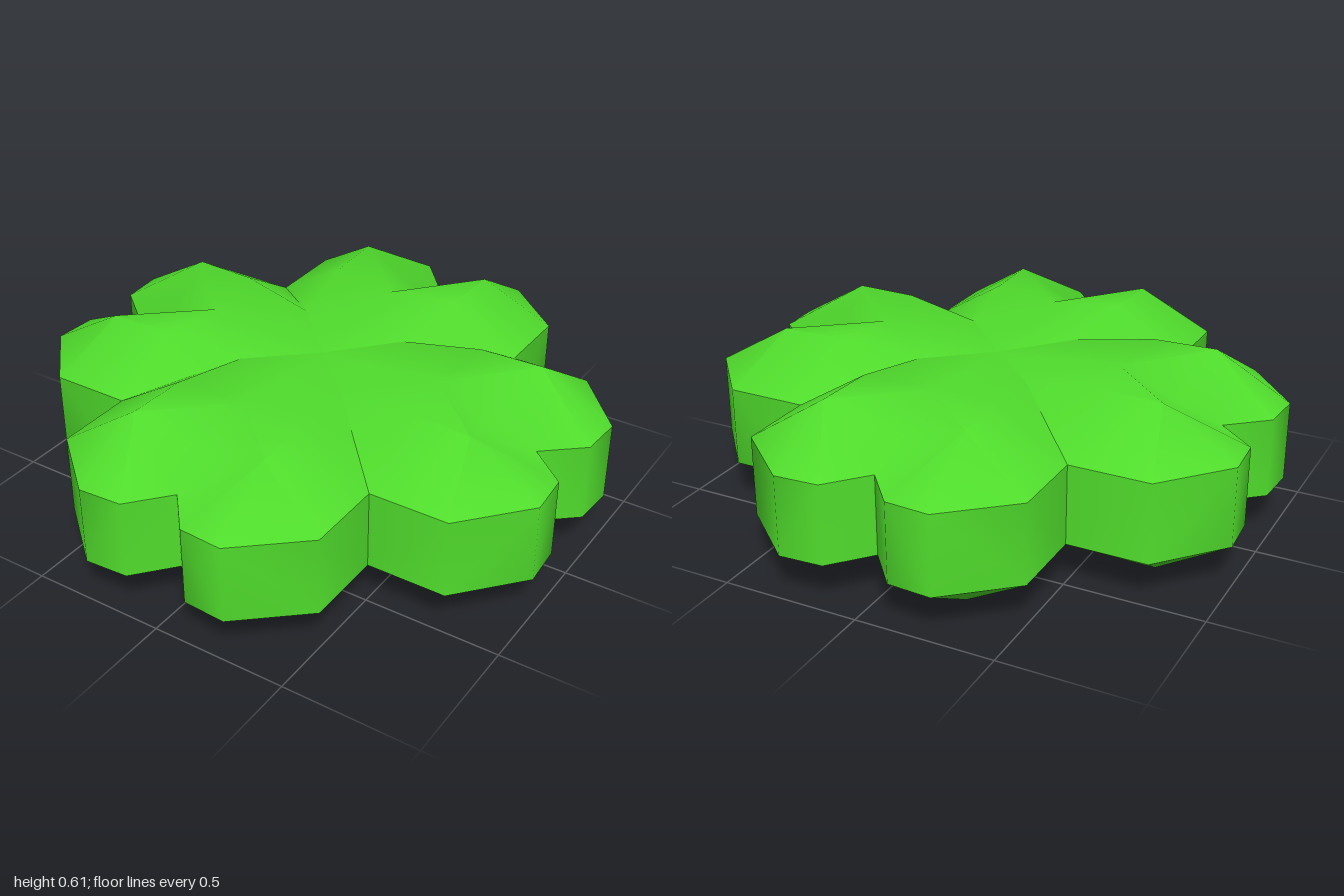
import * as THREE from 'three';
import { toCreasedNormals } from 'three/addons/utils/BufferGeometryUtils.js';

const HEIGHT = 0.61;

// Upper quarter of one heart-shaped leaf, pointing to +z
const P = {
  notch: [0, 0.45, 0.85],
  tipIn: [0.12, 0.45, 0.99],
  tipOut: [0.28, 0.45, 1],
  shoulder: [0.51, 0.45, 0.8],
  corner: [0.51, 0.45, 0.51],
  peak: [0.26, HEIGHT, 0.73],
  ridge: [0.25, HEIGHT, 0.5],
  dip: [0, 0.515, 0.68],
  saddle: [0, 0.595, 0.47],
  valley: [0.21, 0.57, 0.21],
  centre: [0, 0.56, 0],
};
const RIM = ['notch', 'tipIn', 'tipOut', 'shoulder', 'corner'];
const TOP = [
  ['corner', 'ridge', 'peak'],
  ['corner', 'valley', 'ridge'],
  ['valley', 'centre', 'saddle'],
  ['valley', 'saddle', 'ridge'],
  ['saddle', 'peak', 'ridge'],
  ['saddle', 'dip', 'peak'],
  ['dip', 'notch', 'peak'],
];

function leafGeometry() {
  const pos = [];
  // Adds a triangle mirrored in x and/or y, keeping it facing outward
  const add = (tri, sx, sy) => {
    const pts = tri.map(([x, y, z]) => [x * sx, sy > 0 ? y : HEIGHT - y, z]);
    if (sx * sy < 0) pts.reverse();
    pos.push(...pts.flat());
  };
  for (const sx of [1, -1]) {
    // Domed top and matching underside
    for (const sy of [1, -1]) {
      for (const names of TOP) add(names.map((n) => P[n]), sx, sy);
      for (let i = 0; i < 4; i++) add([P[RIM[i]], P[RIM[i + 1]], P.peak], sx, sy);
    }
    // Upright outer wall
    for (let i = 0; i < 4; i++) {
      const a = P[RIM[i]], b = P[RIM[i + 1]];
      const low = ([x, y, z]) => [x, HEIGHT - y, z];
      add([a, low(a), low(b)], sx, 1);
      add([a, low(b), b], sx, 1);
    }
  }
  const geo = new THREE.BufferGeometry();
  geo.setAttribute('position', new THREE.Float32BufferAttribute(pos, 3));
  return toCreasedNormals(geo, 0.9);
}

export function createModel() {
  const group = new THREE.Group();
  group.name = 'clover';
  const material = new THREE.MeshStandardMaterial({ color: 0x50dc2c });
  const geometry = leafGeometry();

  // Four leaves joined along the diagonals
  ['frontLeaf', 'leftLeaf', 'backLeaf', 'rightLeaf'].forEach((name, i) => {
    const leaf = new THREE.Mesh(geometry, material);
    leaf.name = name;
    leaf.rotation.y = (i * Math.PI) / 2;
    group.add(leaf);
  });
  return group;
}
